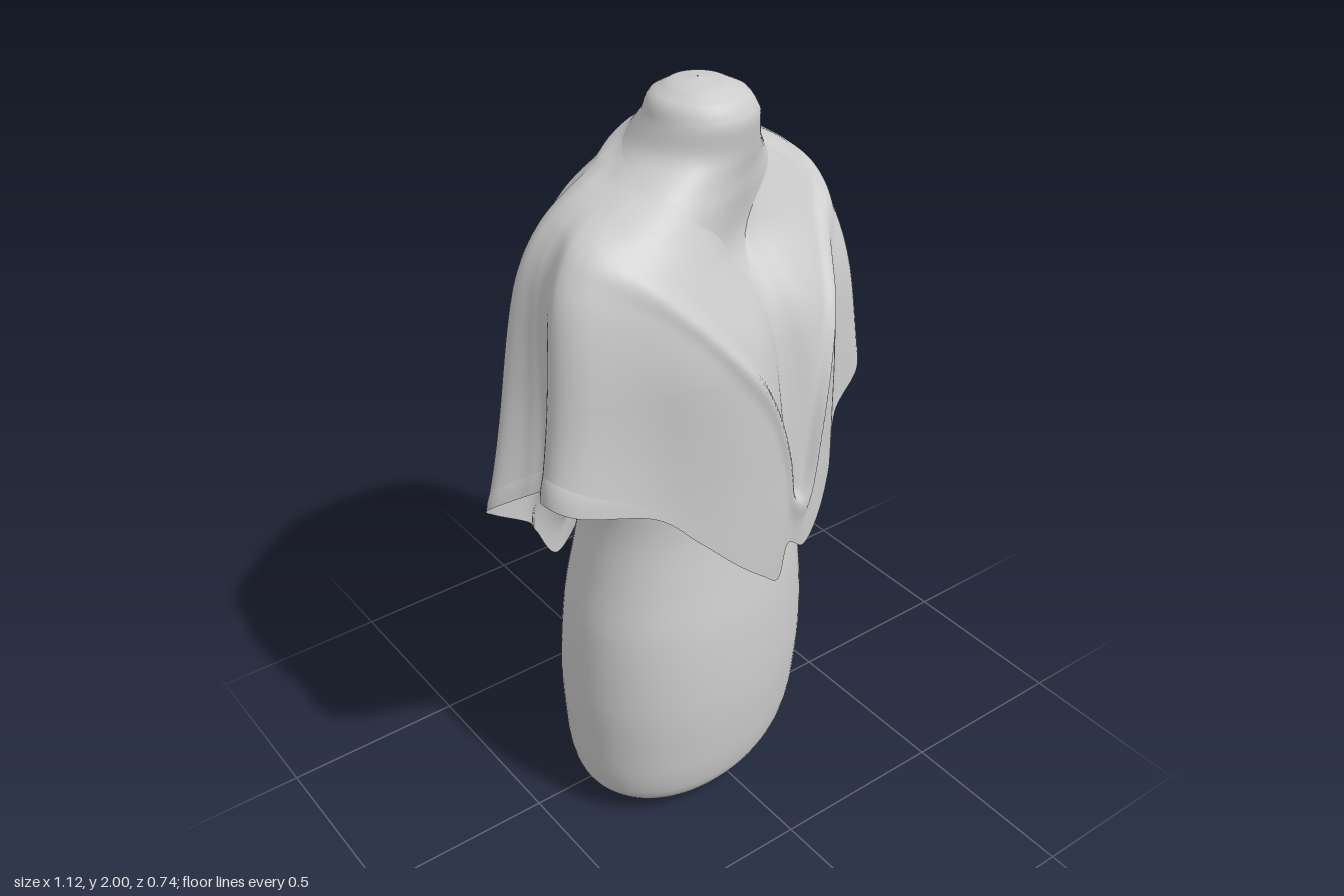
import * as THREE from 'three';

const material = new THREE.MeshStandardMaterial({ color: 0xcccccc, side: THREE.DoubleSide });

// The figure is turned about y: E is its shoulder axis, N its facing direction (x, z)
const TURN = 0.43;
const E = [Math.cos(TURN), -Math.sin(TURN)];
const N = [Math.sin(TURN), Math.cos(TURN)];

// Torso sections: y, half width, half depth
const SECTIONS = [
  [0, 0.002, 0.002], [0.008, 0.29, 0.19], [0.03, 0.36, 0.24], [0.1, 0.41, 0.28],
  [0.25, 0.427, 0.3], [0.4, 0.43, 0.305], [0.6, 0.41, 0.293], [0.75, 0.372, 0.27],
  [0.9, 0.34, 0.25], [1.05, 0.335, 0.245], [1.2, 0.36, 0.258], [1.4, 0.4, 0.268],
  [1.55, 0.42, 0.252], [1.65, 0.41, 0.228], [1.73, 0.36, 0.2], [1.79, 0.265, 0.175],
  [1.85, 0.178, 0.16], [1.92, 0.143, 0.137], [1.965, 0.117, 0.114],
  [1.99, 0.07, 0.07], [2, 0.002, 0.002],
];
// Centre line: y, x, z
const CENTRES = [[0, 0.015, -0.02], [0.9, 0.025, -0.02], [1.4, 0.0, -0.015],
  [1.7, 0.005, -0.04], [1.85, 0.035, -0.01], [1.92, 0.04, 0.02], [2, 0.03, 0.02]];

// Smooth interpolation of a table keyed by its first column
function sample(table, y, k) {
  const last = table.length - 1;
  let i = 0;
  while (i < last - 1 && y > table[i + 1][0]) i++;
  const slope = (j) => {
    const p = table[Math.max(j - 1, 0)], q = table[Math.min(j + 1, last)];
    return (q[k] - p[k]) / (q[0] - p[0]);
  };
  const h = table[i + 1][0] - table[i][0];
  const t = THREE.MathUtils.clamp((y - table[i][0]) / h, 0, 1);
  // the steep end caps stay linear
  if (i < 2 || i > last - 3) return THREE.MathUtils.lerp(table[i][k], table[i + 1][k], t);
  const t2 = t * t, t3 = t2 * t;
  return (2 * t3 - 3 * t2 + 1) * table[i][k] + (t3 - 2 * t2 + t) * h * slope(i)
    + (3 * t2 - 2 * t3) * table[i + 1][k] + (t3 - t2) * h * slope(i + 1);
}

// Point on the torso at an angle and height, pushed out by an offset
function torsoPoint(angle, y, offset = 0) {
  const c = Math.cos(angle), s = Math.sin(angle);
  // hollow below the throat
  const hollow = s > 0 ? 0.055 * Math.exp(-((c / 0.5) ** 2) - ((y - 1.61) / 0.11) ** 2) : 0;
  const u = (sample(SECTIONS, y, 1) + offset) * c;
  const v = (sample(SECTIONS, y, 2) + offset - hollow) * s;
  return new THREE.Vector3(
    sample(CENTRES, y, 1) + u * E[0] + v * N[0], y,
    sample(CENTRES, y, 2) + u * E[1] + v * N[1]);
}

// Surface closed around the body: columns go round, rows go down
function wrapSurface(name, cols, rows, pointAt) {
  const positions = [], index = [];
  for (let j = 0; j <= rows; j++) {
    for (let i = 0; i < cols; i++) {
      positions.push(...pointAt(i / cols, j / rows).toArray());
      if (j === rows) continue;
      const a = j * cols + i, b = j * cols + (i + 1) % cols;
      index.push(a, a + cols, b, b, a + cols, b + cols);
    }
  }
  const geometry = new THREE.BufferGeometry();
  geometry.setAttribute('position', new THREE.Float32BufferAttribute(positions, 3));
  geometry.setIndex(index);
  geometry.computeVertexNormals();
  const mesh = new THREE.Mesh(geometry, material);
  mesh.name = name;
  return mesh;
}

// Shawl columns, right arm -> front -> left arm -> back: hem x, hem y, hem z, lapel y
const SHAWL = [
  [-0.55, 1.15, 0.19, 1.77], [-0.5, 1.13, 0.27, 1.75], [-0.31, 1.07, 0.31, 1.69],
  [-0.2, 0.97, 0.34, 1.6], [-0.1, 0.87, 0.355, 1.47], [0, 0.78, 0.345, 1.32],
  [0.07, 0.73, 0.325, 1.14], [0.115, 0.81, 0.305, 0.98], [0.165, 0.79, 0.31, 0.98],
  [0.23, 0.85, 0.29, 1.25], [0.31, 0.93, 0.235, 1.45], [0.4, 1.03, 0.15, 1.58],
  [0.5, 1.12, 0.12, 1.65], [0.56, 1.17, 0.02, 1.7], [0.53, 1.21, -0.08, 1.73],
  [0.48, 1.19, -0.14, 1.76], [0.49, 1.1, -0.21, 1.79], [0.54, 1.04, -0.29, 1.82],
  [0.49, 0.97, -0.37, 1.84], [0.36, 0.87, -0.36, 1.86], [0.23, 0.76, -0.345, 1.88],
  [0.13, 0.63, -0.37, 1.88], [0.04, 0.73, -0.345, 1.88], [-0.05, 0.82, -0.285, 1.88],
  [-0.12, 0.75, -0.26, 1.88], [-0.21, 0.57, -0.3, 1.87], [-0.32, 0.73, -0.23, 1.86],
  [-0.4, 0.85, -0.13, 1.84], [-0.5, 0.92, -0.12, 1.83], [-0.56, 1.0, -0.05, 1.82],
  [-0.5, 1.06, 0.03, 1.8], [-0.475, 1.1, 0.09, 1.79],
];
const closedCurve = (points) => new THREE.CatmullRomCurve3(points, true, 'catmullrom', 0.5);
const hemCurve = closedCurve(SHAWL.map(([x, y, z]) => new THREE.Vector3(x, y, z)));
const lapelCurve = closedCurve(SHAWL.map((c) => new THREE.Vector3(c[3], 0, 0)));

// Angle round the torso at which a hem point hangs
const hemAngle = (hem) => Math.atan2(
  (hem.x * N[0] + hem.z * N[1]) / 0.29, (hem.x * E[0] + hem.z * E[1]) / 0.41);

function shawlPoint(u, v) {
  const hem = hemCurve.getPoint(u);
  const angle = hemAngle(hem);
  const c = Math.cos(angle), s = Math.sin(angle);
  // higher at the nape than at the throat
  const top = 1.87 - 0.05 * s;
  const y = THREE.MathUtils.lerp(top, hem.y, Math.pow(v, 1.15));
  const fade = Math.min(1, (top - y) / 0.09);
  // hugging neck and shoulders, then hanging freely towards the hem
  const fall = THREE.MathUtils.clamp((1.8 - y) / (1.8 - hem.y), 0, 1);
  const free = Math.pow(fall, 0.78);
  const billow = Math.sin(Math.PI * fall);
  const point = torsoPoint(angle, y, fade * 0.014 + 0.01 * billow);
  point.x += (hem.x - point.x) * free;
  point.z += (hem.z - point.z) * free;
  // inner layer sinks towards the throat behind a rolled lapel edge
  const drop = lapelCurve.getPoint(u).x - y;
  const relief = 0.03 * billow * Math.max(0, s) + 0.12 * Math.min(0, drop) + fade
    * (0.014 * (THREE.MathUtils.smoothstep(drop, -0.015, 0.025) - 1)
    + 0.01 * Math.exp(-(((drop - 0.035) / 0.035) ** 2)));
  point.x += relief * (0.6 * c * E[0] + s * N[0]);
  point.z += relief * (0.6 * c * E[1] + s * N[1]);
  return point;
}

// Inside of the shawl: up from the hem and in to the torso
function liningPoint(u, v) {
  const hem = hemCurve.getPoint(u);
  const y = hem.y + 0.16 * (1 - (1 - v) ** 2);
  const inner = torsoPoint(hemAngle(hem), y, -0.01);
  return new THREE.Vector3(hem.x, y, hem.z).lerp(inner, v * v * 0.9 + v * 0.1);
}

export function createModel() {
  const group = new THREE.Group();
  group.name = 'drapedTorso';

  // Torso with neck stump, four rows per section
  const steps = SECTIONS.length - 1;
  group.add(wrapSurface('torso', 96, steps * 4, (u, v) => {
    const s = (1 - v) * steps;
    const i = Math.min(Math.floor(s), steps - 1);
    const y = THREE.MathUtils.lerp(SECTIONS[i][0], SECTIONS[i + 1][0], s - i);
    return torsoPoint(-u * Math.PI * 2, y);
  }));

  // Shawl draped over the shoulders, its lapels meeting in a V at the front
  group.add(wrapSurface('shawl', 320, 110, shawlPoint));
  group.add(wrapSurface('shawlLining', 320, 14, liningPoint));
  return group;
}
